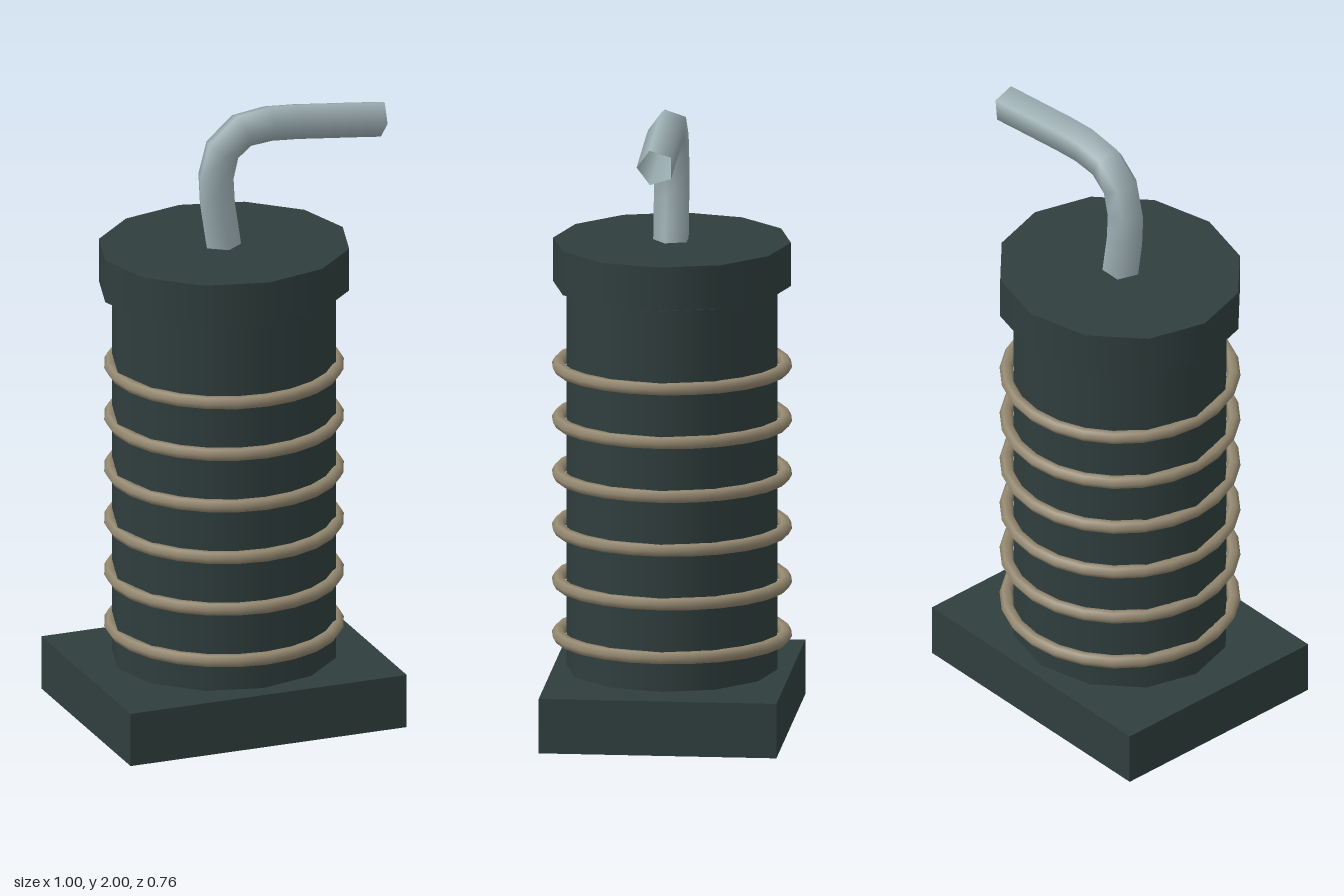
import * as THREE from 'three';

export function createModel() {
  const group = new THREE.Group();
  const casing = new THREE.MeshStandardMaterial({ name: 'dark casing', color: 0x2f3e3d });
  const brass = new THREE.MeshStandardMaterial({ name: 'dull brass', color: 0x948870 });
  const steel = new THREE.MeshStandardMaterial({ name: 'pale steel', color: 0x9eb0b5, side: THREE.DoubleSide });
  const axisX = -0.033;

  const add = (name, geometry, material, x, y) => {
    const mesh = new THREE.Mesh(geometry, material);
    mesh.name = name;
    mesh.position.set(x, y, 0);
    group.add(mesh);
    return mesh;
  };

  // Slightly oval twelve-sided drum between two heights
  const drum = (name, rx, rz, y0, y1) => {
    const geometry = new THREE.CylinderGeometry(1, 1, y1 - y0, 12).scale(rx, 1, rz);
    add(name, geometry, casing, axisX, (y0 + y1) / 2);
  };

  // Base slab, body and lid, with narrow gaps between them
  add('base', new THREE.BoxGeometry(0.935, 0.175, 0.75), casing, axisX, 0.0875);
  drum('body', 0.36, 0.333, 0.182, 1.406);
  drum('lid', 0.402, 0.375, 1.416, 1.556);

  // Six hoops around the body
  const hoop = new THREE.TorusGeometry(0.358, 0.021, 6, 24).rotateX(Math.PI / 2);
  for (let i = 0; i < 6; i++) add('hoop', hoop, brass, axisX, 0.291 + i * 0.173);

  // Bent five-sided outlet pipe, open at its end
  const path = new THREE.CatmullRomCurve3([
    [-0.032, 1.5], [-0.065, 1.78], [-0.037, 1.88], [0.03, 1.932],
    [0.12, 1.943], [0.3, 1.927], [0.497, 1.905],
  ].map(([x, y]) => new THREE.Vector3(x, y, 0)));
  add('pipe', new THREE.TubeGeometry(path, 10, 0.06, 5, false), steel, 0, 0);

  return group;
}
